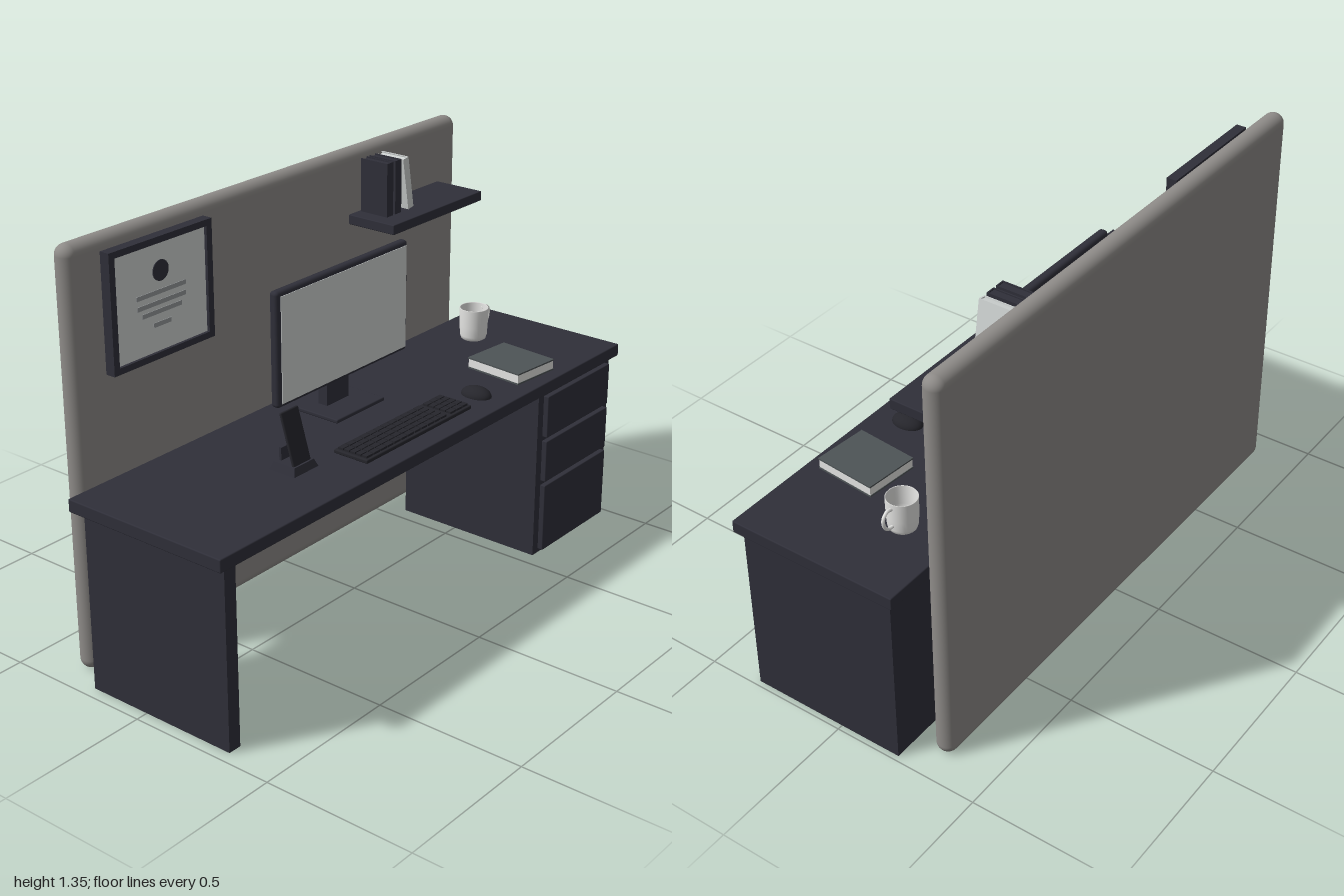
import * as THREE from 'three';
import { RoundedBoxGeometry } from 'three/addons/geometries/RoundedBoxGeometry.js';

const mat = (name, color) => {
  const m = new THREE.MeshStandardMaterial({ color });
  m.name = name;
  return m;
};

export function createModel() {
  const root = new THREE.Group();
  root.name = 'officeDesk';

  const dark = mat('charcoal', 0x2f2f39);
  const device = mat('deviceBlack', 0x26262c);
  const felt = mat('warmGreyFelt', 0x8e8b88);
  const light = mat('paleGrey', 0xd0d4d3);
  const white = mat('offWhite', 0xe6e6e4);
  const ink = mat('inkGrey', 0x96999b);
  const cover = mat('slateCover', 0x4e5456);

  const add = (name, geo, m, parent = root) => {
    const mesh = new THREE.Mesh(geo, m);
    mesh.name = name;
    parent.add(mesh);
    return mesh;
  };
  const group = (name, x = 0, y = 0, z = 0) => {
    const g = new THREE.Group();
    g.name = name;
    g.position.set(x, y, z);
    root.add(g);
    return g;
  };
  // box given by its extents on each axis
  const box = (name, [x0, x1], [y0, y1], [z0, z1], m, parent = root, round = 0) => {
    const s = [x1 - x0, y1 - y0, z1 - z0];
    const geo = round ? new RoundedBoxGeometry(...s, 3, round) : new THREE.BoxGeometry(...s);
    const mesh = add(name, geo, m, parent);
    mesh.position.set((x0 + x1) / 2, (y0 + y1) / 2, (z0 + z1) / 2);
    return mesh;
  };
  const TOP = 0.637;

  // Back partition with fully rounded rim
  add('partition', new RoundedBoxGeometry(1.815, 1.35, 0.07, 6, 0.0349), felt).position.set(-0.002, 0.675, -0.315);

  // Desk top, leg and drawer cabinet
  box('deskTop', [-1, 1], [0.595, TOP], [-0.235, 0.35], dark, root, 0.004);
  box('leftLeg', [-0.96, -0.915], [0, 0.595], [-0.215, 0.325], dark);
  box('cabinet', [0.555, 0.982], [0, 0.592], [-0.215, 0.325], dark);
  [[0.014, 0.254], [0.269, 0.416], [0.43, 0.577]].forEach((y, i) =>
    box('drawerFront' + (i + 1), [0.583, 0.955], y, [0.325, 0.345], dark, root, 0.003));

  // Monitor on its stand
  const monitor = group('monitor');
  box('monitorCase', [-0.32, 0.315], [0.735, 1.108], [-0.067, -0.035], dark, monitor, 0.012);
  box('monitorScreen', [-0.302, 0.304], [0.748, 1.092], [-0.037, -0.033], light, monitor);
  box('monitorNeck', [-0.055, 0.05], [0.645, 0.83], [-0.1, -0.065], dark, monitor);
  box('monitorBase', [-0.12, 0.115], [TOP, 0.65], [-0.13, 0.03], dark, monitor, 0.004);

  // Keyboard: main block of keys and number pad
  const keyboard = group('keyboard');
  box('keyboardBody', [-0.29, 0.235], [TOP, 0.65], [0.155, 0.283], device, keyboard, 0.004);
  const keys = (x0, x1, cols) => {
    const w = (x1 - x0) / cols, d = 0.0225;
    for (let r = 0; r < 5; r++) for (let c = 0; c < cols; c++) {
      const x = x0 + c * w, z = 0.163 + r * d;
      box('key', [x + 0.002, x + w - 0.002], [0.649, 0.657], [z + 0.002, z + d - 0.002], device, keyboard);
    }
  };
  keys(-0.283, 0.118, 12);
  keys(0.135, 0.229, 3);

  // Mouse: upper half of an ellipsoid
  const mouse = add('mouse', new THREE.SphereGeometry(1, 24, 10, 0, Math.PI * 2, 0, Math.PI / 2), device);
  mouse.scale.set(0.038, 0.03, 0.054);
  mouse.position.set(0.335, TOP, 0.23);

  // Phone leaning on a small stand
  const phone = group('phoneStand', -0.44, TOP, 0);
  const foot = add('phoneFoot', new THREE.CylinderGeometry(0.062, 0.076, 0.024, 4, 1, false, Math.PI / 4).toNonIndexed(), dark, phone);
  foot.geometry.computeVertexNormals();
  foot.scale.z = 0.9;
  foot.position.set(0, 0.012, 0.128);
  box('phoneSupport', [-0.026, 0.026], [0.02, 0.065], [0.094, 0.102], dark, phone);
  const slab = add('phone', new RoundedBoxGeometry(0.078, 0.17, 0.009, 3, 0.004), device, phone);
  slab.position.set(0, 0.1, 0.134);
  slab.rotation.x = -0.29;

  // Book: two covers, spine and page block, standing on its lower edge
  const book = (name, w, h, d, coverMat, pageMat) => {
    const g = group(name), t = 0.004;
    for (const s of [-1, 1])
      box('bookCover', [s * w / 2 - (s > 0 ? t : 0), s * w / 2 + (s < 0 ? t : 0)], [-h / 2, h / 2], [-d / 2, d / 2], coverMat, g);
    box('bookSpine', [-w / 2 + t, w / 2 - t], [-h / 2, h / 2], [d / 2 - t, d / 2], coverMat, g);
    box('bookPages', [-w / 2 + t, w / 2 - t], [-h / 2 + 0.004, h / 2 - 0.004], [-d / 2 + 0.004, d / 2 - t], pageMat, g);
    return g;
  };

  // Shelf with three books
  box('shelf', [0.32, 0.8], [1.107, 1.14], [-0.285, -0.097], dark, root, 0.003);
  book('shelfBook1', 0.032, 0.178, 0.107, dark, dark).position.set(0.388, 1.229, -0.219);
  book('shelfBook2', 0.032, 0.178, 0.107, dark, dark).position.set(0.431, 1.229, -0.219);
  const leaning = book('leaningBook', 0.028, 0.176, 0.107, light, light);
  leaning.position.set(0.484, 1.229, -0.219);
  leaning.rotation.z = 0.17;

  // Notebook lying on the desk
  const note = group('notebook', 0.585, TOP, 0.19);
  note.rotation.y = -0.09;
  box('notebookBack', [-0.092, 0.092], [0, 0.005], [-0.107, 0.107], cover, note);
  box('notebookPages', [-0.09, 0.09], [0.005, 0.033], [-0.105, 0.105], white, note);
  box('notebookCover', [-0.092, 0.092], [0.033, 0.038], [-0.107, 0.107], cover, note);

  // Mug: turned hollow body and looped handle
  const mug = group('mug', 0.735, TOP, -0.069);
  const profile = [[0, 0], [0.036, 0], [0.042, 0.004], [0.046, 0.016], [0.048, 0.05], [0.0495, 0.111],
    [0.048, 0.113], [0.046, 0.111], [0.044, 0.05], [0.041, 0.014], [0, 0.011]];
  add('mugBody', new THREE.LatheGeometry(profile.map(p => new THREE.Vector2(...p)), 32), white, mug);
  const loop = new THREE.CatmullRomCurve3([[0.045, 0.095], [0.07, 0.098], [0.085, 0.082], [0.083, 0.055], [0.068, 0.036], [0.044, 0.032]]
    .map(([x, y]) => new THREE.Vector3(x, y, 0)));
  add('mugHandle', new THREE.TubeGeometry(loop, 24, 0.0055, 8), white, mug);

  // Framed certificate
  const frame = group('framedCertificate', -0.591, 1.131, -0.262);
  const rect = (P, w, h) => new P().moveTo(-w, -h).lineTo(w, -h).lineTo(w, h).lineTo(-w, h).closePath();
  const border = rect(THREE.Shape, 0.209, 0.185);
  border.holes.push(rect(THREE.Path, 0.187, 0.165));
  add('certificateFrame', new THREE.ExtrudeGeometry(border, { depth: 0.034, bevelEnabled: false }), dark, frame);
  box('certificateBacking', [-0.19, 0.19], [-0.168, 0.168], [0.001, 0.018], dark, frame);
  box('certificatePaper', [-0.187, 0.187], [-0.165, 0.165], [0.018, 0.024], light, frame);
  const seal = add('certificateSeal', new THREE.CylinderGeometry(0.032, 0.032, 0.004, 24), dark, frame);
  seal.rotation.x = Math.PI / 2;
  seal.position.set(0, 0.079, 0.025);
  [[0.016, 0.101], [-0.016, 0.1], [-0.043, 0.081], [-0.082, 0.036]].forEach(([y, w]) =>
    box('certificateLine', [-w, w], [y - 0.007, y + 0.007], [0.023, 0.026], ink, frame));

  return root;
}
